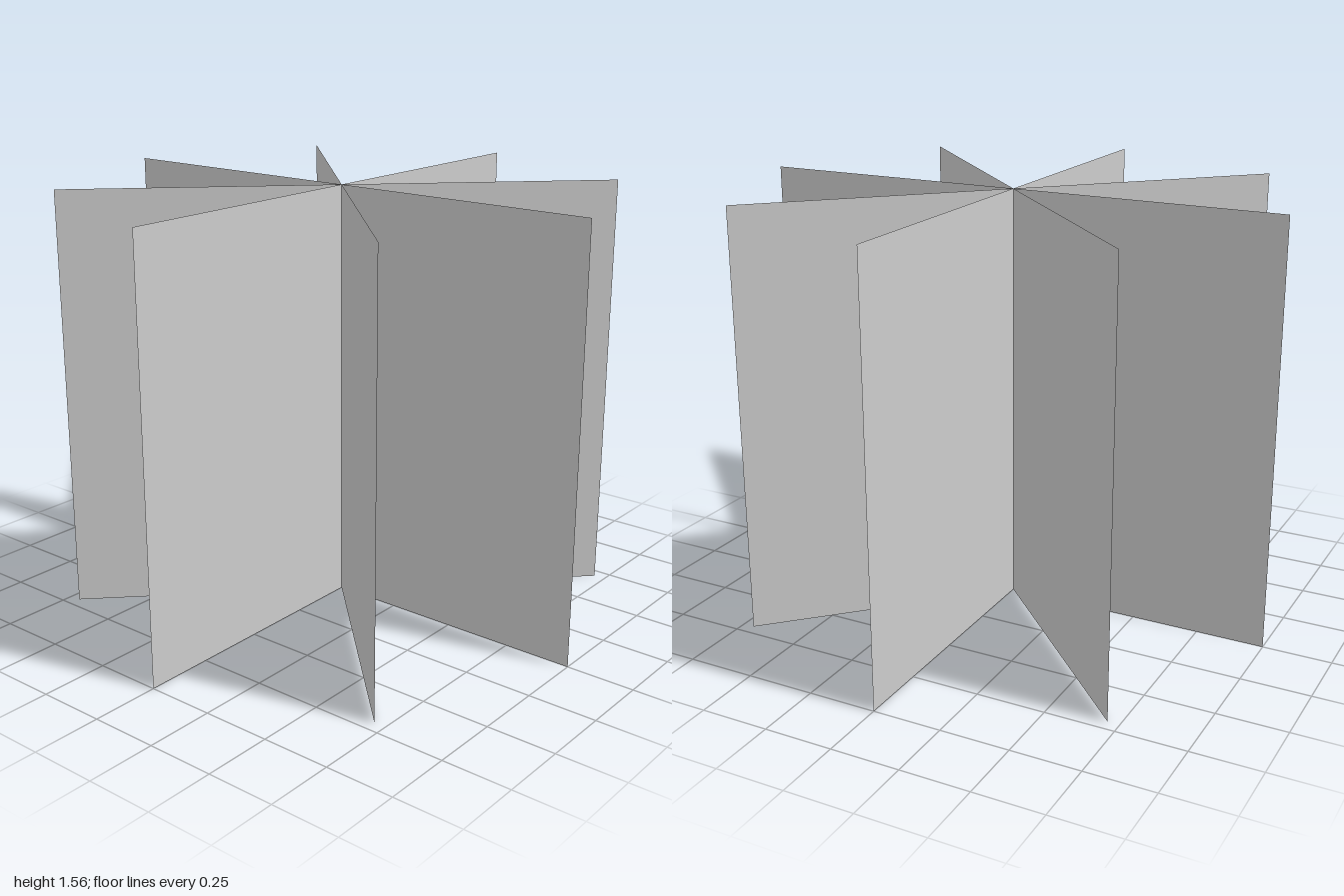
import * as THREE from 'three';

const WIDTH = 2;
const HEIGHT = 1.56;
const PANELS = 4;

export function createModel() {
  const model = new THREE.Group();
  model.name = 'crossedPanels';

  const material = new THREE.MeshStandardMaterial({ color: 0xcccccc, side: THREE.DoubleSide });
  const geometry = new THREE.PlaneGeometry(WIDTH, HEIGHT);
  geometry.translate(0, HEIGHT / 2, 0);

  // Thin upright panels crossing on the central axis, evenly spread over half a turn
  for (let i = 0; i < PANELS; i++) {
    const panel = new THREE.Mesh(geometry, material);
    panel.name = `panel${i + 1}`;
    panel.rotation.y = (i * Math.PI) / PANELS;
    model.add(panel);
  }
  return model;
}
